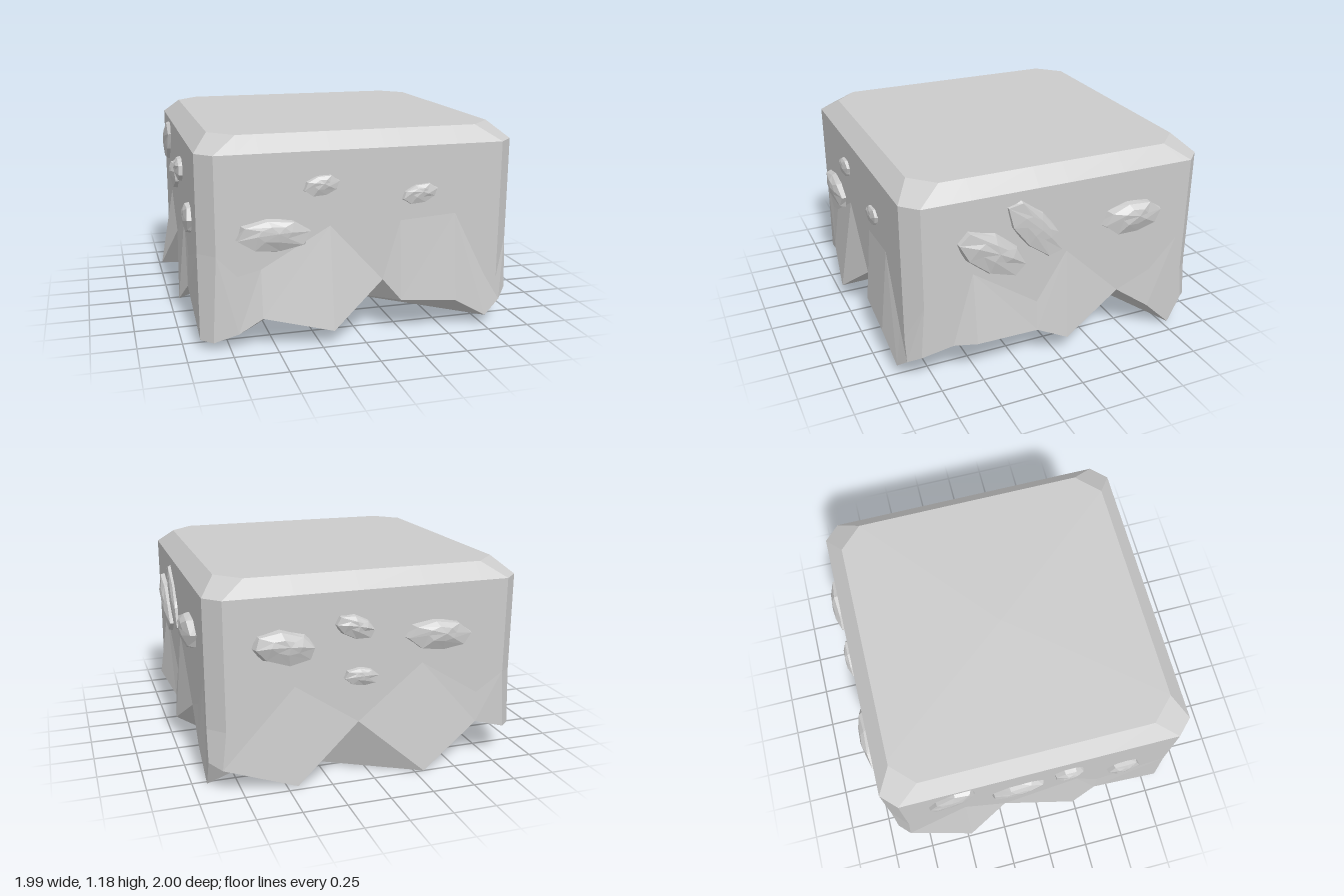
import * as THREE from 'three';

const HALF = 0.915, EDGE = 0.825, TOP = 1.18, BEVEL = 1.09, INNER = 0.69;

// Each side runs left to right as seen from outside:
// [u, seam height on the flat wall, rim height, how far the rim juts out]
const FRONT = [[-EDGE, .54, .05, 0], [-.71, .42, .09, .01], [-.58, .45, .18, .04], [-.19, .67, .09, .098],
  [.12, .45, .33, 0], [.22, .67, .21, .04], [.55, .69, .18, .05], [.75, .3, .06, .03], [EDGE, .28, .14, 0]];
const LEFT = [[-EDGE, .5, .19, 0], [-.66, .4, .22, 0], [-.54, .65, .235, .06], [-.15, .38, .2, .02],
  [.03, .67, .12, .05], [.38, .37, .33, 0], [.6, .42, .17, .01], [.77, .6, .005, 0], [EDGE, .36, .17, 0]];
const BACK = [[-EDGE, .36, .14, 0], [-.44, .58, .01, .05], [-.07, .42, .33, 0],
  [.31, .64, 0, .07], [.66, .42, .24, .01], [EDGE, .53, .18, 0]];
const RIGHT = [[-EDGE, .5, .17, 0], [-.46, .6, .09, .09], [-.21, .43, .38, 0],
  [.25, .6, .08, .05], [.4, .4, .21, .01], [EDGE, .54, .05, 0]];

// Rocks: [u, y, half length, half height, depth, tilt]
const FRONT_ROCKS = [[-.51, .64, .22, .105, .06, -.03], [-.24, .9, .11, .065, .035, .1], [.33, .82, .12, .06, .03, .15]];
const LEFT_ROCKS = [[-.43, .755, .25, .12, .05, -.55], [-.17, .85, .25, .11, .03, -.85], [.44, .81, .2, .11, .07, 0]];
const BACK_ROCKS = [[-.5, .81, .2, .1, .07, -.15], [-.1, .89, .13, .07, .05, -.3],
  [-.06, .6, .11, .06, .04, -.1], [.4, .8, .21, .1, .07, -.1]];
const RIGHT_ROCKS = [[-.53, .93, .2, .1, .04, .75], [-.13, .78, .19, .09, .045, .2],
  [.18, .88, .1, .08, .045, .2], [.54, .67, .11, .1, .045, .6]];

// Low points of the underside that the rim facets run in to
const ANCHORS = [[.53, .03, -.58], [-.36, .14, -.1], [-.15, .13, .43]].map((p) => new THREE.Vector3(...p));
const nearestAnchor = (p) => ANCHORS.reduce((a, b) => (
  Math.hypot(b.x - p.x, b.z - p.z) < Math.hypot(a.x - p.x, a.z - p.z) ? b : a));

const UP = new THREE.Vector3(0, 1, 0);
const onSide = (side, u, y, d) => new THREE.Vector3(u, y, d).applyAxisAngle(UP, side * Math.PI / 2);

function makeMesh(points, name, material) {
  const geometry = new THREE.BufferGeometry().setFromPoints(points);
  geometry.computeVertexNormals();
  const mesh = new THREE.Mesh(geometry, material);
  mesh.name = name;
  return mesh;
}

function makeBlock(material) {
  // Columns of points around the block: top edge, bevel, seam, rim
  const columns = [];
  [FRONT, LEFT, BACK, RIGHT].forEach((list, s) => list.forEach(([u, seam, rim, out]) => {
    const flare = Math.abs(u) === EDGE ? 1.03 : 1;
    columns.push([
      onSide(s, THREE.MathUtils.clamp(u, -INNER, INNER), TOP, EDGE),
      onSide(s, u, BEVEL, HALF),
      onSide(s, u, seam, HALF),
      onSide(s, u * flare, rim, HALF + out),
    ]);
  }));
  const roof = new THREE.Vector3(0, TOP, 0);
  const points = [];
  columns.forEach((a, i) => {
    const b = columns[(i + 1) % columns.length];
    points.push(roof, a[0], b[0]);
    for (let r = 0; r < 3; r++) {
      // split the ragged band along its ridges
      if (r === 2 && a[2].y > b[2].y) points.push(a[r], a[r + 1], b[r + 1], a[r], b[r + 1], b[r]);
      else points.push(a[r], a[r + 1], b[r], b[r], a[r + 1], b[r + 1]);
    }
    // underside from the rim inwards
    const p = nearestAnchor(a[3]), q = nearestAnchor(b[3]);
    points.push(a[3], p, b[3]);
    if (p !== q) points.push(b[3], p, q);
  });
  points.push(ANCHORS[0], ANCHORS[2], ANCHORS[1]);
  return makeMesh(points, 'groundBlock', material);
}

// Faceted stone: a tapered prism with a raised off-centre ridge and uneven corners
function makeRock([u, y, length, height, depth, tilt], seed, material) {
  const sides = 8, rings = [[], [], []];
  const wobble = (k) => .5 + .5 * Math.sin(seed * 7.3 + k * 4.7);
  for (let i = 0; i < sides; i++) {
    const t = i / sides * Math.PI * 2 + .2;
    [[1, -.03], [.88, depth * .45], [.42, depth * .8]].forEach(([scale, d], r) => {
      const k = scale * (.92 + .14 * wobble(i + r * .3));
      const lift = r === 2 ? .15 * height : 0;
      rings[r].push(new THREE.Vector3(Math.cos(t) * length * k, Math.sin(t) * height * k + lift,
        d + (r ? depth * .15 * wobble(i * 2 + r) : 0)));
    });
  }
  const tip = new THREE.Vector3(length * .1, height * .2, depth);
  const points = [];
  for (let i = 0; i < sides; i++) {
    const j = (i + 1) % sides;
    for (let r = 0; r < 2; r++) {
      const a = rings[r], b = rings[r + 1];
      points.push(a[i], a[j], b[i], b[i], a[j], b[j]);
    }
    points.push(rings[2][i], rings[2][j], tip);
  }
  const rock = makeMesh(points, 'rock', material);
  rock.rotation.z = tilt;
  rock.position.set(u, y, HALF);
  return rock;
}

export function createModel() {
  const model = new THREE.Group();
  model.name = 'rockyGroundTile';
  const material = new THREE.MeshStandardMaterial({ color: 0xcccccc, flatShading: true });
  model.add(makeBlock(material));
  [FRONT_ROCKS, LEFT_ROCKS, BACK_ROCKS, RIGHT_ROCKS].forEach((list, s) => {
    const rocks = new THREE.Group();
    rocks.name = ['frontRocks', 'leftRocks', 'backRocks', 'rightRocks'][s];
    rocks.rotation.y = s * Math.PI / 2;
    list.forEach((rock, i) => rocks.add(makeRock(rock, s * 5 + i, material)));
    model.add(rocks);
  });
  model.position.set(.005, 0, -.015);
  return model;
}
